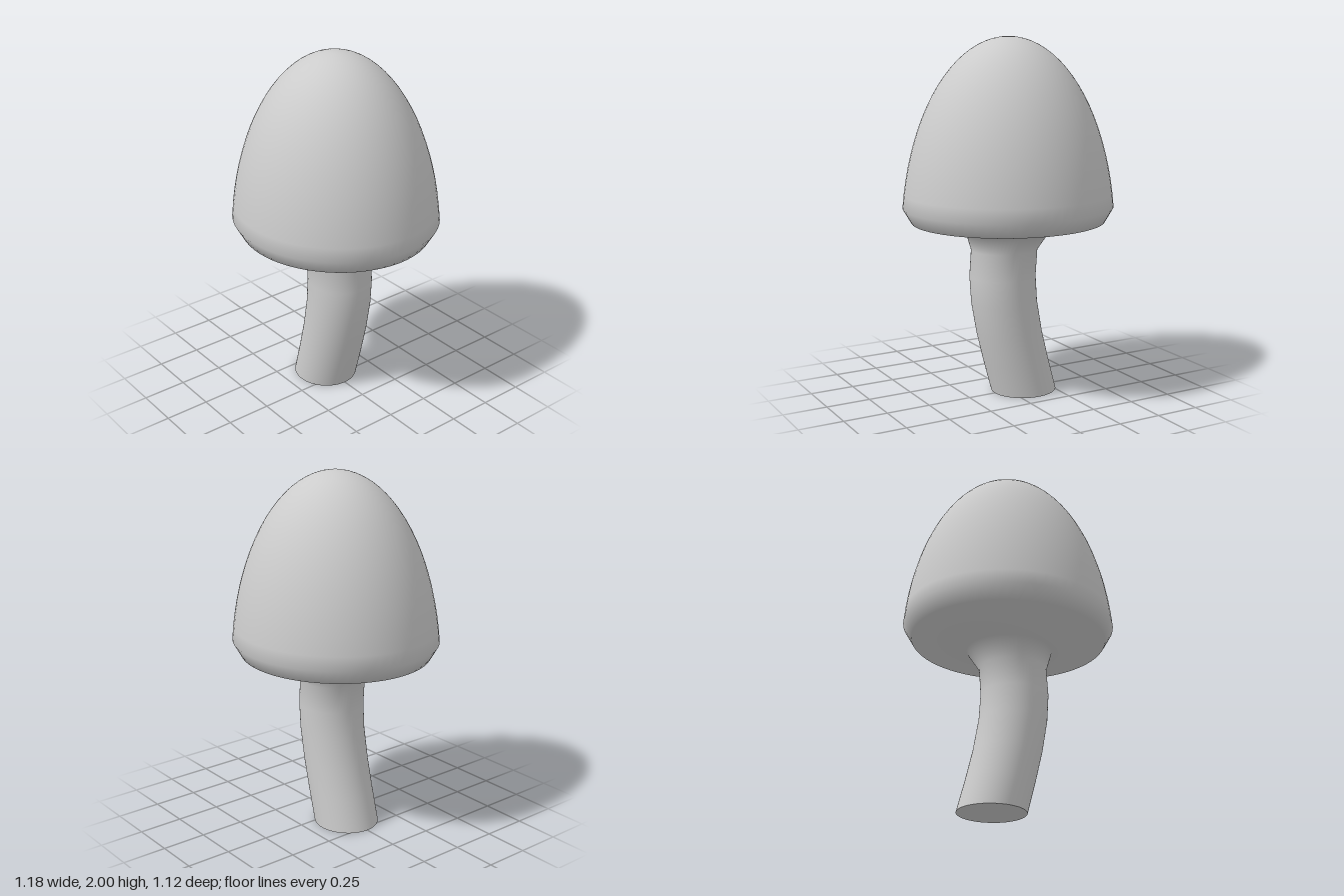
import * as THREE from 'three';

const SIDES = 64;
const material = new THREE.MeshStandardMaterial({ color: 0xcccccc });

// Skin through horizontal elliptical rings [y, centre x, radius x, radius z], closed by a tip point
function loftRings(rings, tipY) {
  const pos = [], index = [];
  for (const [y, cx, rx, rz] of rings) {
    for (let i = 0; i < SIDES; i++) {
      const a = (i / SIDES) * Math.PI * 2;
      pos.push(cx + rx * Math.sin(a), y, rz * Math.cos(a));
    }
  }
  const tip = rings.length * SIDES;
  pos.push(0, tipY, 0);
  for (let r = 0; r < rings.length; r++) {
    for (let i = 0; i < SIDES; i++) {
      const a = r * SIDES + i, b = r * SIDES + ((i + 1) % SIDES);
      if (r === rings.length - 1) index.push(a, b, tip);
      else index.push(a, b, b + SIDES, a, b + SIDES, a + SIDES);
    }
  }
  const geo = new THREE.BufferGeometry();
  geo.setAttribute('position', new THREE.Float32BufferAttribute(pos, 3));
  geo.setIndex(index);
  geo.computeVertexNormals();
  return geo;
}

export function createModel() {
  const group = new THREE.Group();
  group.name = 'mushroom';

  // Leaning stem, flared collar, underside and rim
  const rings = [
    [0, -0.098, 0.187, 0.178],
    [0.18, -0.048, 0.187, 0.178],
    [0.35, -0.005, 0.187, 0.178],
    [0.53, 0.028, 0.187, 0.178],
    [0.68, 0.038, 0.187, 0.178],
    [0.83, 0.027, 0.187, 0.178],
    [0.93, 0.004, 0.238, 0.225],
    [0.99, 0, 0.543, 0.516],
    [1.07, 0, 0.59, 0.56],
  ];

  // Tall domed cap: upper part of an ellipse centred below the rim
  const centreY = 0.9, height = 1.1;
  const start = Math.asin((1.07 - centreY) / height);
  const steps = 20;
  for (let i = 1; i < steps; i++) {
    const t = start + (i / steps) * (Math.PI / 2 - start);
    const k = Math.cos(t) / Math.cos(start);
    rings.push([centreY + height * Math.sin(t), 0, 0.59 * k, 0.56 * k]);
  }
  const body = new THREE.Mesh(loftRings(rings, 2), material);
  body.name = 'stemAndCap';
  group.add(body);

  // Flat foot closing the stem
  const foot = new THREE.Mesh(new THREE.CircleGeometry(1, SIDES), material);
  foot.name = 'stemBase';
  foot.scale.set(0.187, 0.178, 1);
  foot.rotation.x = Math.PI / 2;
  foot.position.x = -0.098;
  group.add(foot);

  return group;
}
